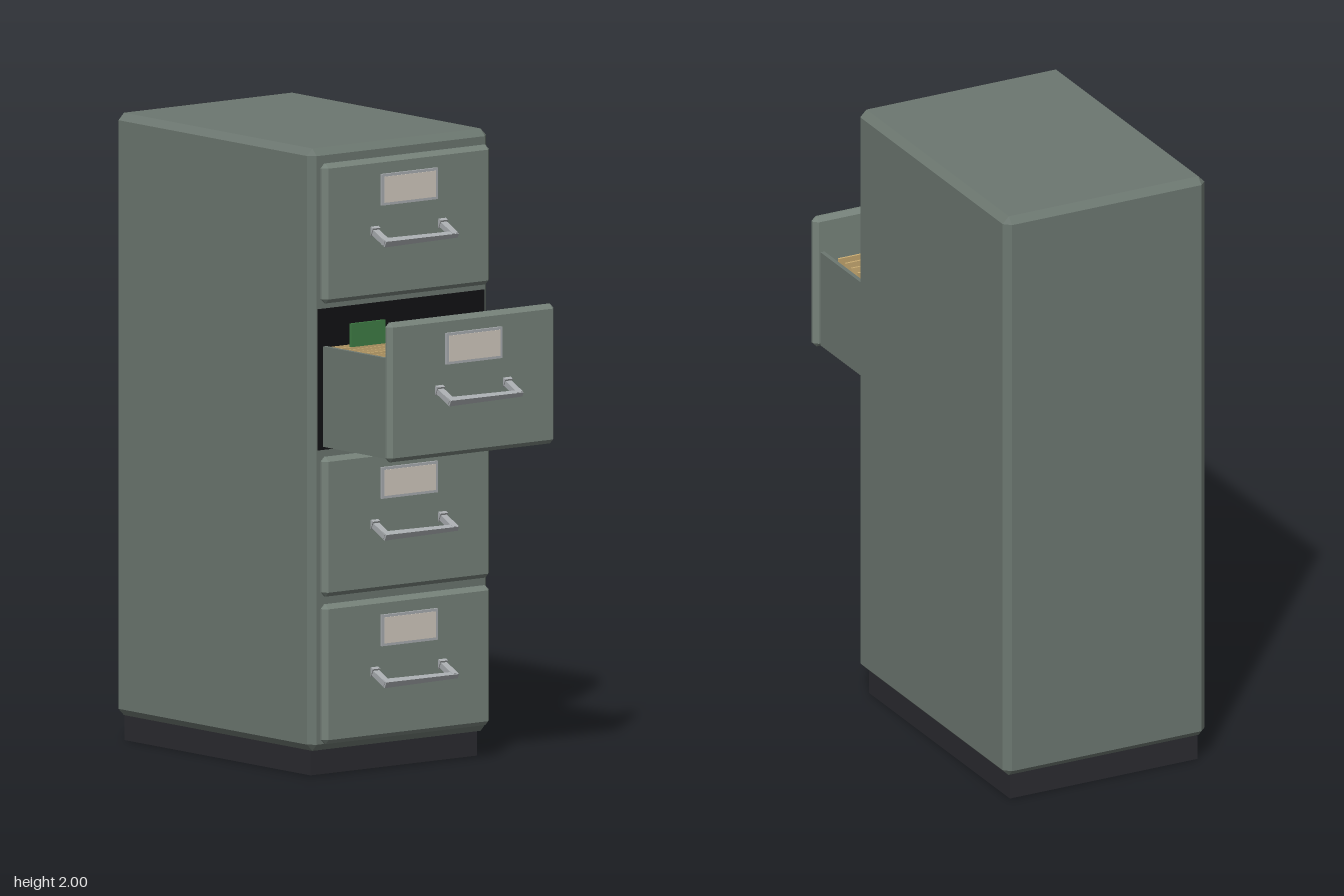
import * as THREE from 'three';
import { ConvexGeometry } from 'three/addons/geometries/ConvexGeometry.js';

const paint = (color) => new THREE.MeshStandardMaterial({ color });
const bodyPaint = paint(0x6c7770);
const drawerPaint = paint(0x76827a);
const basePaint = paint(0x2b2b30);
const black = paint(0x121214);
const metal = paint(0xa9adb0);
const cardPaint = paint(0xd2cabf);
const manila = paint(0xc9ab72);

function add(parent, name, geometry, material, x = 0, y = 0, z = 0) {
  const mesh = new THREE.Mesh(geometry, material);
  mesh.name = name;
  mesh.position.set(x, y, z);
  parent.add(mesh);
  return mesh;
}

function box(parent, name, w, h, d, material, x, y, z) {
  return add(parent, name, new THREE.BoxGeometry(w, h, d), material, x, y, z);
}

// Box with every edge cut at 45 degrees by b
function chamferBox(w, h, d, b) {
  const points = [];
  for (const sx of [-1, 1]) for (const sy of [-1, 1]) for (const sz of [-1, 1]) {
    const x = sx * w / 2, y = sy * h / 2, z = sz * d / 2;
    points.push(
      new THREE.Vector3(x, y - sy * b, z - sz * b),
      new THREE.Vector3(x - sx * b, y, z - sz * b),
      new THREE.Vector3(x - sx * b, y - sy * b, z));
  }
  return new ConvexGeometry(points);
}

// Pull handle: two posts and a slightly tapered bar, drooping forward
function makeHandle() {
  const handle = new THREE.Group();
  handle.name = 'handle';
  for (const x of [-0.137, 0.135]) {
    box(handle, 'handlePost', 0.024, 0.018, 0.075, metal, x, 0, 0.036);
    box(handle, 'handleFoot', 0.03, 0.03, 0.012, metal, x, 0, 0.002);
  }
  const barGeo = new THREE.CylinderGeometry(0.015, 0.011, 0.295, 4, 1);
  barGeo.rotateY(Math.PI / 4).rotateZ(Math.PI / 2);
  const flat = barGeo.toNonIndexed();
  flat.computeVertexNormals();
  add(handle, 'handleBar', flat, metal, 0, 0, 0.069);
  handle.rotation.x = 0.45;
  handle.position.set(0, -0.007, 0.017);
  return handle;
}

// Drawer front with its label holder and handle
function makeDrawerFront() {
  const front = new THREE.Group();
  front.name = 'drawerFront';
  add(front, 'frontPanel', chamferBox(0.67, 0.445, 0.036, 0.014), drawerPaint);
  box(front, 'labelFrame', 0.225, 0.1, 0.01, metal, 0, 0.122, 0.022);
  box(front, 'labelCard', 0.205, 0.083, 0.004, cardPaint, 0, 0.122, 0.027);
  front.add(makeHandle());
  return front;
}

// Open-topped drawer box; its front edge lies at z = 0.61
function makeDrawerBox() {
  const tray = new THREE.Group();
  tray.name = 'drawerBox';
  const z = 0.44, depth = 0.34;
  for (const s of [-1, 1]) box(tray, 'drawerSide', 0.014, 0.32, depth, bodyPaint, s * 0.308, 1.21, z);
  box(tray, 'drawerFloor', 0.61, 0.014, depth, bodyPaint, 0, 1.06, z);
  box(tray, 'drawerBack', 0.61, 0.3, 0.012, bodyPaint, 0, 1.21, 0.276);
  return tray;
}

// Hanging files: alternating lean, each with an index tab
function makeFiles() {
  const files = new THREE.Group();
  files.name = 'files';
  const tabs = [
    [-0.19, 0xc9b35f], [0.02, 0xa8423a], [0.18, 0xc9ab72], [-0.085, 0x2f66a8],
    [0.115, 0xc9ab72], [-0.175, 0x3f7d45], [0.03, 0xc9ab72],
  ];
  tabs.forEach(([x, color], i) => {
    const file = new THREE.Group();
    file.name = 'file';
    const tabHeight = [0.045, 0.06, 0.075][i % 3];
    box(file, 'folder', 0.57, 0.28, 0.006, manila, 0, -0.14, 0);
    box(file, 'indexTab', 0.138, tabHeight, 0.009, paint(color), x, tabHeight / 2, 0);
    file.position.set(0, 1.367, 0.545 - i * 0.0425);
    file.rotation.x = [-0.1, -0.055, 0][i % 3];
    files.add(file);
  });
  return files;
}

export function createModel() {
  const cabinet = new THREE.Group();
  cabinet.name = 'filingCabinet';

  add(cabinet, 'body', chamferBox(0.72, 1.92, 1, 0.022), bodyPaint, 0, 1.04, -0.22);
  box(cabinet, 'plinth', 0.67, 0.09, 0.945, basePaint, 0, 0.045, -0.2275);

  // Four drawers, the second from the top pulled out
  [0.328, 0.798, 1.265, 1.7325].forEach((y, i) => {
    const drawer = makeDrawerFront();
    drawer.position.set(0, y, i === 2 ? 0.628 : 0.3);
    cabinet.add(drawer);
  });
  box(cabinet, 'drawerOpening', 0.67, 0.45, 0.006, black, 0, 1.265, 0.28);
  cabinet.add(makeDrawerBox(), makeFiles());
  return cabinet;
}
